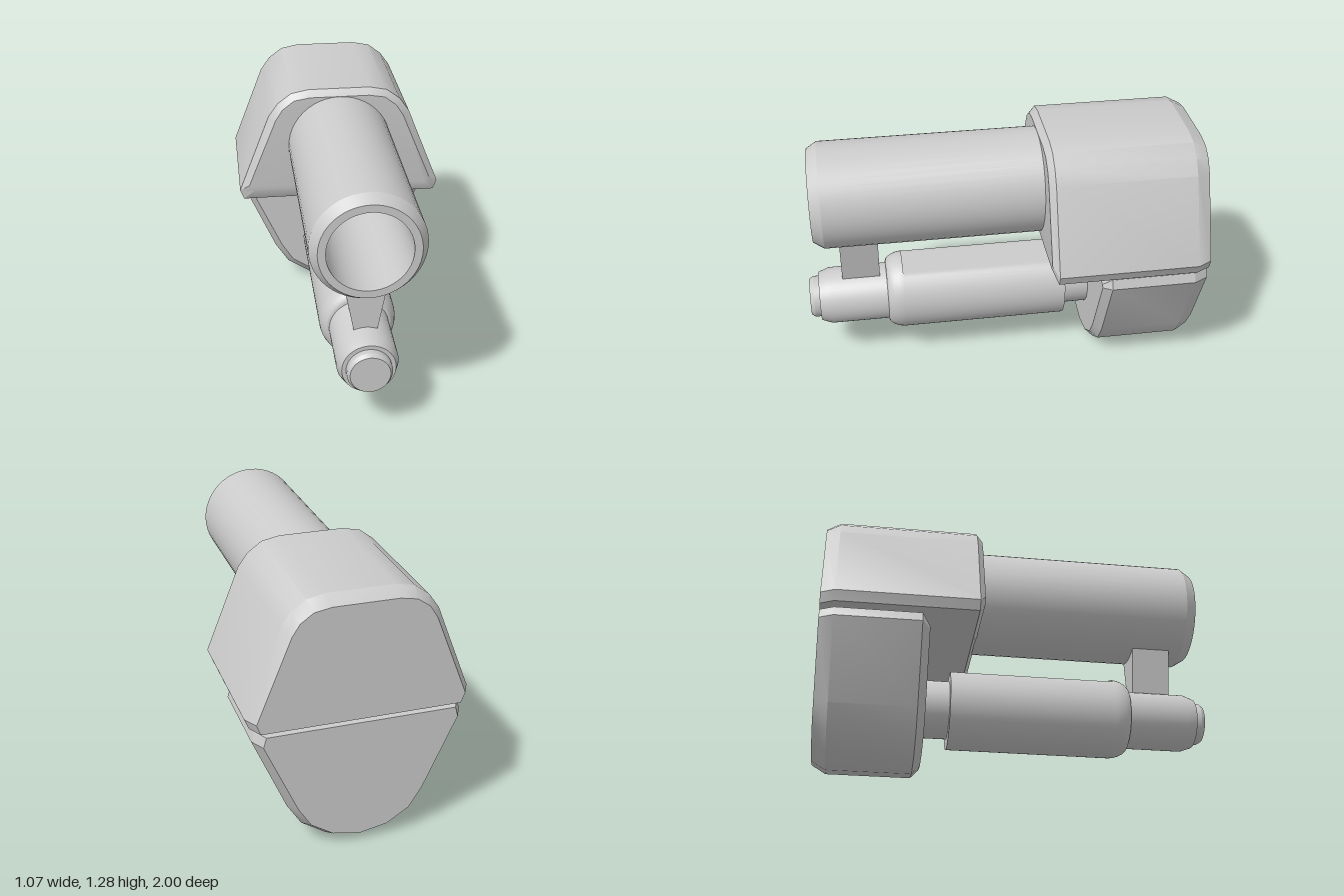
import * as THREE from 'three';
import { toCreasedNormals } from 'three/addons/utils/BufferGeometryUtils.js';

const material = new THREE.MeshStandardMaterial({ color: 0xcccccc });

function addPart(group, name, geometry) {
  const mesh = new THREE.Mesh(toCreasedNormals(geometry, 0.47), material);
  mesh.name = name;
  group.add(mesh);
  return mesh;
}

// Mirrors a right-hand half outline (bottom to top) into a closed ring
function mirrored(half) {
  return [...half, ...half.filter(([x]) => x > 0).map(([x, y]) => [-x, y]).reverse()];
}

// Skins closed convex rings, ordered from back to front, and caps both ends
function loft(sections) {
  const n = sections[0].ring.length;
  const positions = [], index = [];
  for (const { z, ring } of sections) for (const [x, y] of ring) positions.push(x, y, z);
  for (let s = 0; s < sections.length - 1; s++) {
    for (let i = 0; i < n; i++) {
      const a = s * n + i, b = s * n + (i + 1) % n;
      index.push(a, b, b + n, a, b + n, a + n);
    }
  }
  const last = (sections.length - 1) * n;
  for (let i = 1; i < n - 1; i++) {
    index.push(0, i + 1, i);
    index.push(last, last + i, last + i + 1);
  }
  const geometry = new THREE.BufferGeometry();
  geometry.setAttribute('position', new THREE.Float32BufferAttribute(positions, 3));
  geometry.setIndex(index);
  return geometry;
}

// Turned part along z, from [radius, z] pairs
function turned(profile, y) {
  const points = profile.map(([r, z]) => new THREE.Vector2(r, z));
  return new THREE.LatheGeometry(points, 48).rotateX(Math.PI / 2).translate(0, y, 0);
}

// Oval sleeve section with an optional flat top
function sleeveRing(scale, top = Infinity) {
  return Array.from({ length: 64 }, (_, i) => {
    const t = (i / 64) * Math.PI * 2;
    return [0.19 * scale * Math.cos(t), Math.min(top, 0.355 + 0.207 * scale * Math.sin(t))];
  });
}

export function createModel() {
  const group = new THREE.Group();
  group.name = 'twinBarrelAssembly';

  // Upper housing, chamfered at the front and on the back's upper rim
  const upper = mirrored([[0.515, 0.67], [0.535, 0.72], [0.37, 1.14], [0.32, 1.21], [0.25, 1.262], [0.16, 1.28]]);
  const upperFront = mirrored([[0.46, 0.73], [0.485, 0.76], [0.336, 1.125], [0.298, 1.185], [0.237, 1.232], [0.155, 1.246]]);
  const upperBack = mirrored([[0.478, 0.67], [0.497, 0.72], [0.336, 1.125], [0.298, 1.185], [0.237, 1.228], [0.155, 1.243]]);
  addPart(group, 'upperHousing', loft([
    { z: -1, ring: upperBack }, { z: -0.93, ring: upper },
    { z: -0.23, ring: upper }, { z: -0.2, ring: upperFront },
  ]));

  // Lower housing with a rounded keel
  const lower = mirrored([[0, 0], [0.15, 0.03], [0.27, 0.11], [0.34, 0.22], [0.505, 0.6], [0.49, 0.65]]);
  const lowerFront = mirrored([[0, 0.042], [0.135, 0.068], [0.242, 0.138], [0.305, 0.238], [0.46, 0.585], [0.45, 0.6]]);
  const lowerBack = mirrored([[0, 0.042], [0.135, 0.068], [0.242, 0.138], [0.305, 0.238], [0.467, 0.6], [0.453, 0.65]]);
  addPart(group, 'lowerHousing', loft([
    { z: -1, ring: lowerBack }, { z: -0.93, ring: lower },
    { z: -0.505, ring: lower }, { z: -0.465, ring: lowerFront },
  ]));

  // Main barrel with an open bore
  addPart(group, 'mainBarrel', turned([
    [0.27, -0.21], [0.27, 0.895], [0.235, 0.95], [0.198, 0.95], [0.198, -0.19], [0, -0.19],
  ], 0.975));

  // Lower rod, with a small plug at its tip
  addPart(group, 'lowerRod', turned([
    [0.148, -0.48], [0.148, 0.895], [0.128, 0.95], [0, 0.95],
  ], 0.352));
  addPart(group, 'rodTip', turned([
    [0.108, 0.94], [0.108, 0.98], [0.095, 1], [0, 1],
  ], 0.352));

  // Sleeve on the rod: flat along the top, with a rounded raised lip in front
  addPart(group, 'rodSleeve', loft([
    { z: -0.335, ring: sleeveRing(1, 0.52) },
    { z: 0.51, ring: sleeveRing(1, 0.52) },
    { z: 0.51, ring: sleeveRing(1) },
    { z: 0.535, ring: sleeveRing(0.985) },
    { z: 0.56, ring: sleeveRing(0.945) },
    { z: 0.58, ring: sleeveRing(0.89) },
    { z: 0.592, ring: sleeveRing(0.83) },
    { z: 0.596, ring: sleeveRing(0.77) },
  ]));

  // Tapered bracket joining barrel and rod
  const bracket = mirrored([[0.055, 0.48], [0.104, 0.74]]);
  addPart(group, 'bracket', loft([{ z: 0.63, ring: bracket }, { z: 0.825, ring: bracket }]));

  return group;
}
